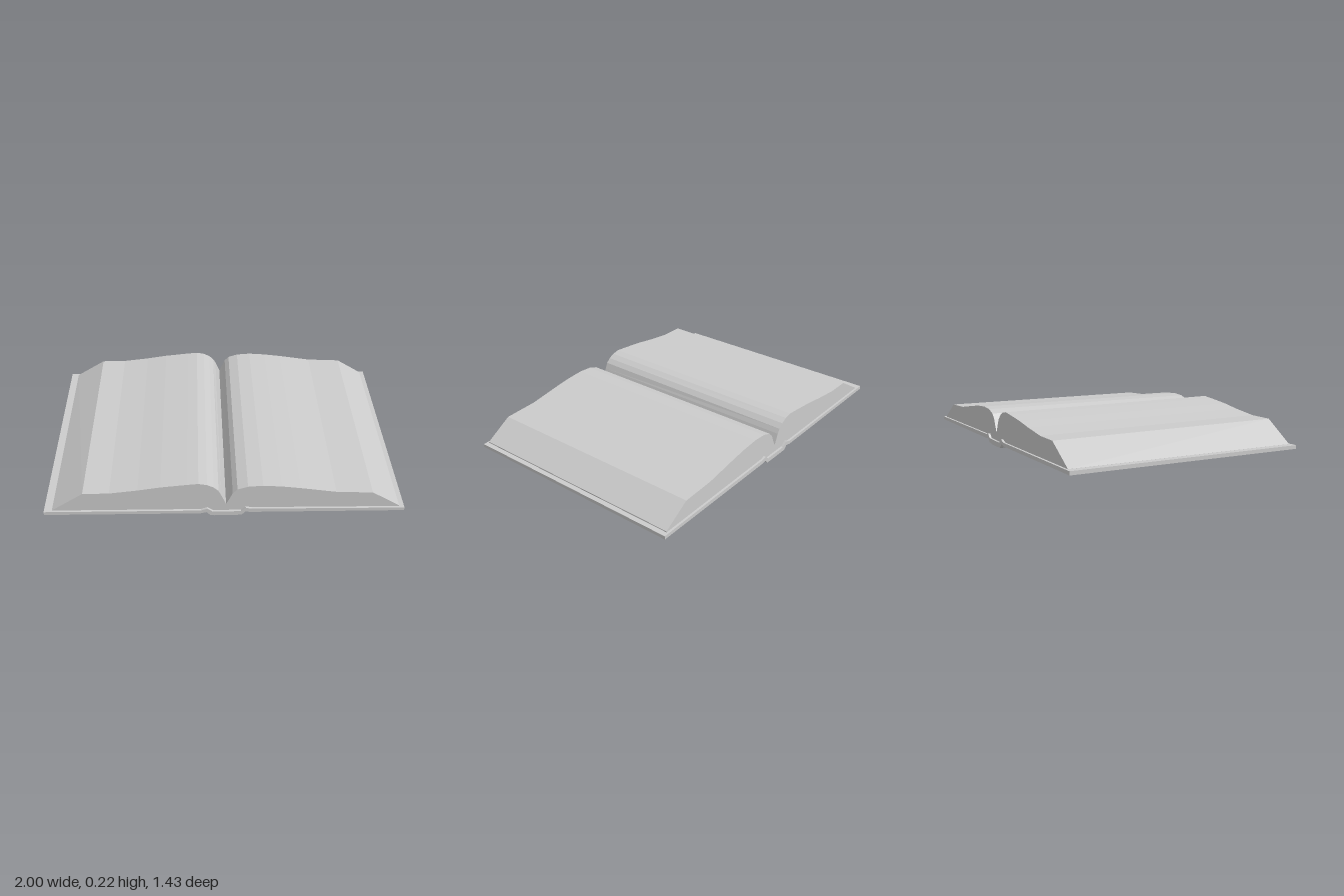
import * as THREE from 'three';

const material = new THREE.MeshStandardMaterial({ color: 0xcccccc, flatShading: true });

// Closed x/y outline pulled along z, centred on z = 0
function prism(name, points, depth) {
  const shape = new THREE.Shape(points.map(([x, y]) => new THREE.Vector2(x, y)));
  const geometry = new THREE.ExtrudeGeometry(shape, { depth, bevelEnabled: false });
  geometry.translate(0, 0, -depth / 2);
  const mesh = new THREE.Mesh(geometry, material);
  mesh.name = name;
  return mesh;
}

export function createModel() {
  const book = new THREE.Group();
  book.name = 'openBook';

  // Cover: two boards joined by a dropped spine with raised hinges
  book.add(prism('cover', [
    [-0.964, 0.033], [-0.13, 0.022], [-0.1, 0.03], [-0.08, 0.008],
    [0.09, 0.008], [0.11, 0.03], [0.13, 0.025], [0.964, 0.015],
    [0.964, 0.034], [0.14, 0.048], [0.11, 0.055], [0.085, 0.032],
    [-0.065, 0.032], [-0.095, 0.055], [-0.13, 0.042], [-0.964, 0.053],
  ], 1.327));

  // Page block: two humps meeting in a deep gutter
  const pages = prism('pages', [
    [-0.922, 0.04], [-0.095, 0.04], [-0.065, 0.025], [0.085, 0.025],
    [0.11, 0.045], [0.936, 0.028], [0.936, 0.04],
    [0.785, 0.135], [0.59, 0.145], [0.4, 0.176], [0.3, 0.19], [0.2, 0.198],
    [0.12, 0.193], [0.065, 0.175], [0.04, 0.15], [0.025, 0.115], [0.005, 0.075],
    [-0.02, 0.135], [-0.035, 0.168], [-0.06, 0.192], [-0.095, 0.21],
    [-0.14, 0.219], [-0.2, 0.214], [-0.34, 0.2], [-0.46, 0.182],
    [-0.61, 0.165], [-0.75, 0.165], [-0.922, 0.053],
  ], 1.302);
  // The left leaves sink slightly towards the back
  const p = pages.geometry.attributes.position;
  for (let i = 0; i < p.count; i++) {
    if (p.getX(i) < -0.03 && p.getY(i) > 0.1 && p.getZ(i) < 0) p.setY(i, p.getY(i) - 0.008);
  }
  pages.geometry.computeVertexNormals();
  book.add(pages);

  // Raised bands across the underside of the spine
  for (const z of [-0.64, -0.385, -0.15, 0.09, 0.33, 0.64]) {
    const band = prism('spineBand', [
      [-0.075, 0.012], [-0.06, 0], [0.07, 0], [0.085, 0.012],
    ], 0.035);
    band.position.z = z;
    book.add(band);
  }

  // The book lies slightly turned
  book.rotation.y = THREE.MathUtils.degToRad(3.15);
  const model = new THREE.Group();
  model.add(book);
  return model;
}
